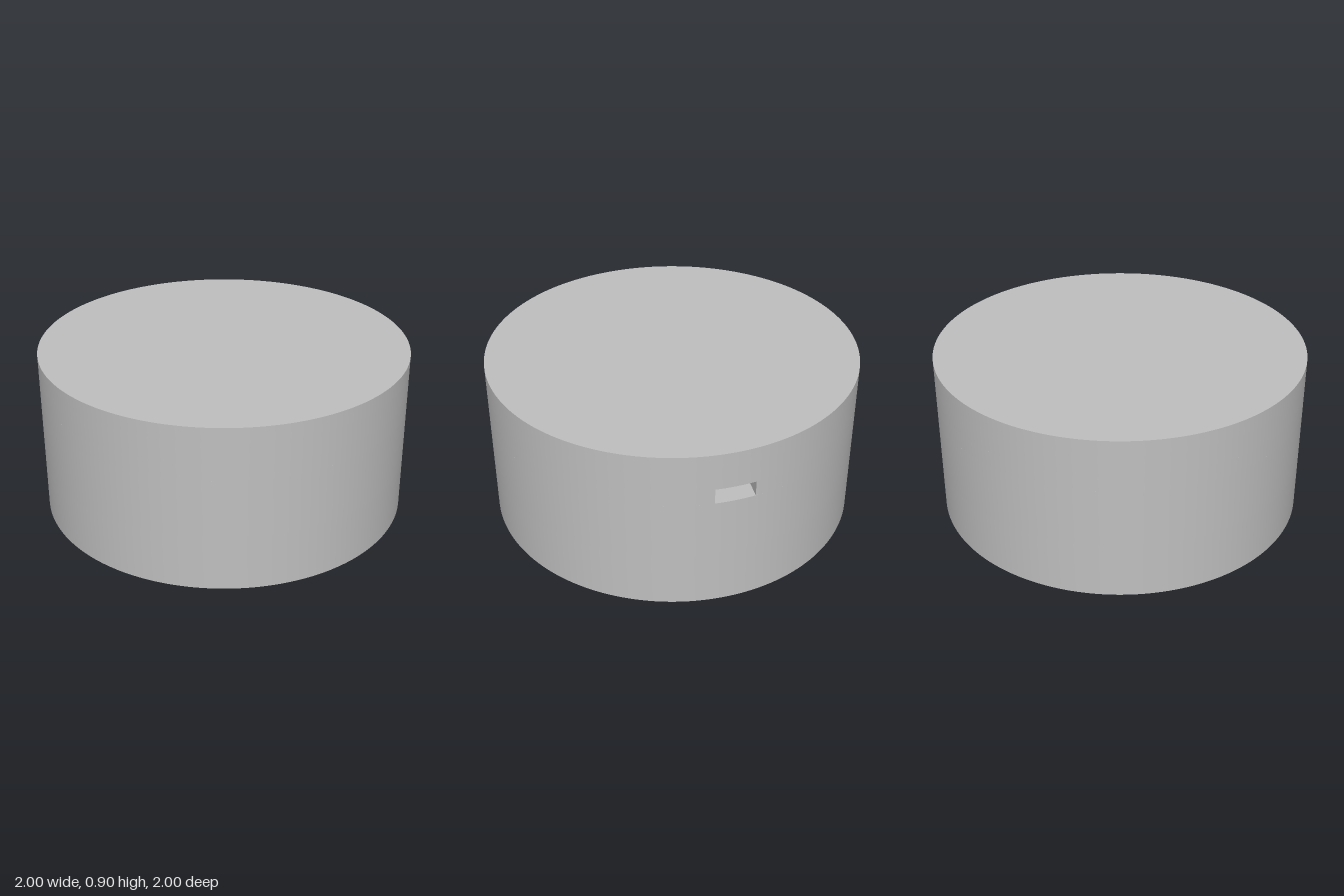
import * as THREE from 'three';
import { toCreasedNormals } from 'three/addons/utils/BufferGeometryUtils.js';

const OUTER = 1, INNER = 0.855, HEIGHT = 0.9, CEILING = 0.82;
const SLOT = { x0: -0.185, x1: 0.023, y0: 0.617, y1: 0.7 };
const BOX = { x: 0.309, z0: -0.283, z1: 0.735, wall: 0.097 };
const WINDOW = { z0: 0.03, z1: 0.235, y0: 0.385, y1: 0.468 };

export function createModel() {
  const model = new THREE.Group();
  const grey = new THREE.MeshStandardMaterial({ color: 0xbfbfbf });
  grey.name = 'plain grey';

  // Plan shapes are drawn as (x, -z) and raised from y0 to y1
  function layer(name, shape, y0, y1, parent) {
    const geometry = new THREE.ExtrudeGeometry(shape, {
      depth: y1 - y0, bevelEnabled: false, curveSegments: 128,
    });
    geometry.rotateX(-Math.PI / 2);
    geometry.translate(0, y0, 0);
    const mesh = new THREE.Mesh(toCreasedNormals(geometry, 0.5), grey);
    mesh.name = name;
    parent.add(mesh);
  }

  function disc(radius, x = 0, y = 0, Type = THREE.Path) {
    const path = new Type();
    path.absarc(x, y, radius, 0, Math.PI * 2, false);
    return path;
  }

  function ring() {
    const shape = disc(OUTER, 0, 0, THREE.Shape);
    shape.holes.push(disc(INNER));
    return shape;
  }

  function polygon(points) {
    return new THREE.Shape(points.map(([x, z]) => new THREE.Vector2(x, -z)));
  }

  // Round housing, open at the bottom
  const housing = new THREE.Group();
  housing.name = 'housing';
  model.add(housing);

  // Rim with four screw holes
  const rim = ring();
  for (let i = 0; i < 4; i++) {
    const a = i * Math.PI / 2;
    rim.holes.push(disc(0.032, 0.93 * Math.cos(a), 0.93 * Math.sin(a)));
  }
  layer('rimWithScrewHoles', rim, 0, 0.3, housing);
  layer('lowerWall', ring(), 0.3, SLOT.y0, housing);

  // Wall interrupted by the cable slot at the back
  const slotted = new THREE.Shape();
  const turn = Math.PI * 2;
  slotted.absarc(0, 0, OUTER, Math.acos(SLOT.x0 / OUTER), Math.acos(SLOT.x1 / OUTER) + turn, false);
  slotted.absarc(0, 0, INNER, Math.acos(SLOT.x1 / INNER) + turn, Math.acos(SLOT.x0 / INNER), true);
  slotted.closePath();
  layer('slottedWall', slotted, SLOT.y0, SLOT.y1, housing);
  layer('upperWall', ring(), SLOT.y1, CEILING, housing);
  layer('topPlate', disc(OUTER, 0, 0, THREE.Shape), CEILING, HEIGHT, housing);

  // Rectangular compartment hanging from the top plate
  const compartment = new THREE.Group();
  compartment.name = 'compartment';
  model.add(compartment);
  const { x, z0, z1, wall } = BOX;
  const ix = x - wall, iz0 = z0 + wall, iz1 = z1 - wall;
  const frame = () => {
    const shape = polygon([[-x, z1], [x, z1], [x, z0], [-x, z0]]);
    shape.holes.push(polygon([[-ix, iz1], [ix, iz1], [ix, iz0], [-ix, iz0]]));
    return shape;
  };
  layer('compartmentLower', frame(), 0, WINDOW.y0, compartment);

  // Frame broken by a cable window in one long side
  layer('compartmentWindowBand', polygon([
    [x, WINDOW.z0], [x, z0], [-x, z0], [-x, z1], [x, z1], [x, WINDOW.z1],
    [ix, WINDOW.z1], [ix, iz1], [-ix, iz1], [-ix, iz0], [ix, iz0], [ix, WINDOW.z0],
  ]), WINDOW.y0, WINDOW.y1, compartment);
  layer('compartmentUpper', frame(), WINDOW.y1, CEILING, compartment);

  return model;
}
